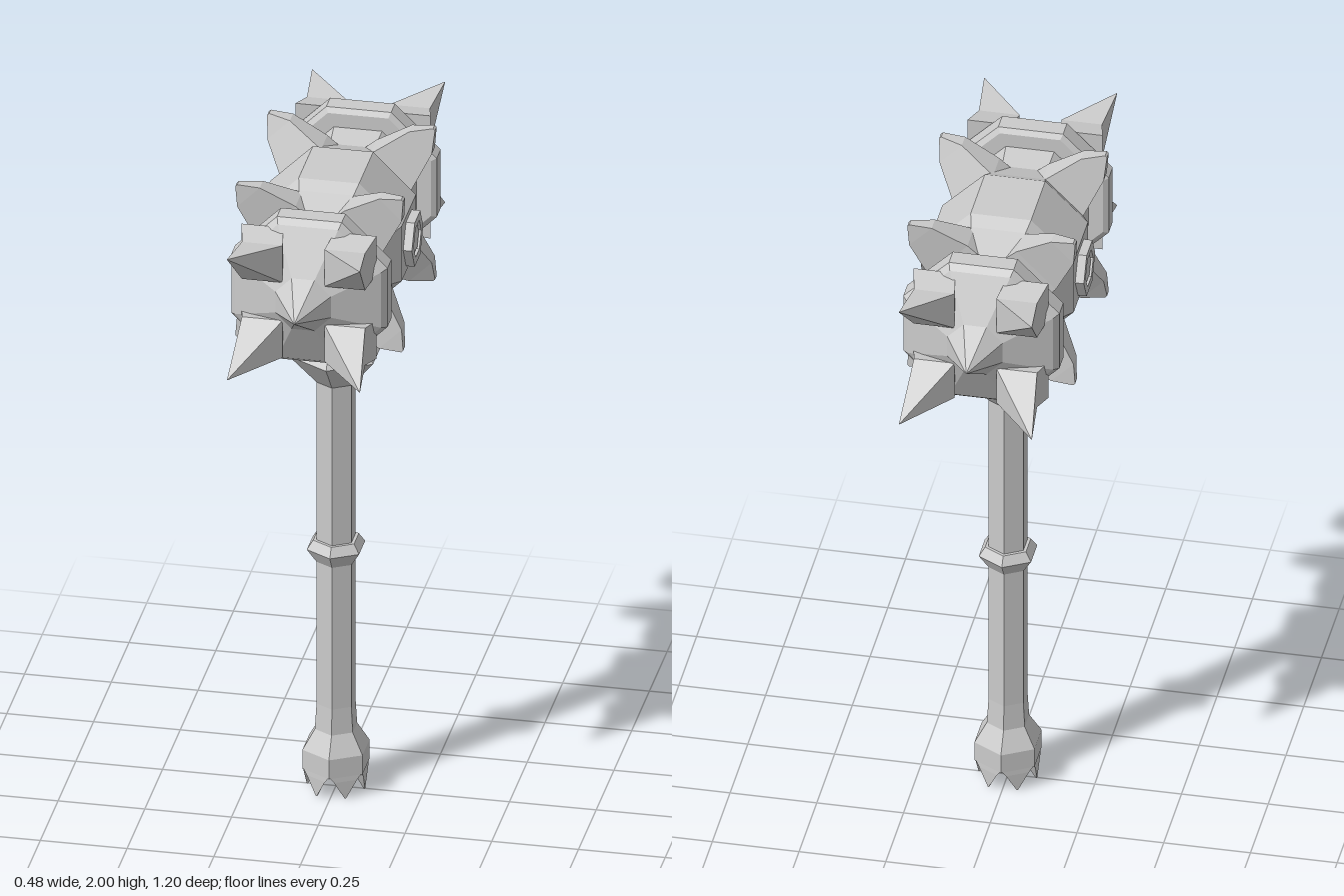
import * as THREE from 'three';

const HEAD_Y = 1.76;

// Skin a list of matching cross-sections (counter-clockwise seen from the far end), capped at both ends
function loft(sections) {
  const n = sections[0].length, index = [];
  for (let i = 0; i < sections.length - 1; i++) {
    for (let j = 0; j < n; j++) {
      const k = (j + 1) % n, a = i * n + j, b = i * n + k;
      index.push(a, b, b + n, a, b + n, a + n);
    }
  }
  const last = (sections.length - 1) * n;
  for (let j = 1; j < n - 1; j++) {
    index.push(0, j + 1, j, last, last + j, last + j + 1);
  }
  const geometry = new THREE.BufferGeometry();
  geometry.setAttribute('position', new THREE.Float32BufferAttribute(sections.flat(2), 3));
  geometry.setIndex(index);
  geometry.computeVertexNormals();
  return geometry;
}

function lathe(profile, sides, start = 0) {
  return new THREE.LatheGeometry(profile.map(([r, y]) => new THREE.Vector2(r, y)), sides, start);
}

export function createModel() {
  const material = new THREE.MeshStandardMaterial({ color: 0xcccccc, flatShading: true });
  const model = new THREE.Group();
  model.name = 'spikedWarHammer';
  const add = (parent, name, geometry) => {
    const mesh = new THREE.Mesh(geometry, material);
    mesh.name = name;
    parent.add(mesh);
    return mesh;
  };

  // Six-sided handle: flared pommel, shaft, grip ring and collar under the head
  add(model, 'handle', lathe([
    [0, 0.07], [0.05, 0.07], [0.1, 0.07], [0.1, 0.13], [0.063, 0.19], [0.058, 0.27],
    [0.058, 0.72], [0.087, 0.763], [0.068, 0.79], [0.058, 0.79],
    [0.058, 1.29], [0.14, 1.385], [0.07, 1.47], [0.07, 1.6],
  ], 6));

  // Pommel claws, one below each face of the handle
  const claws = new THREE.Group();
  claws.name = 'pommelClaws';
  model.add(claws);
  const clawGeometry = loft([
    [[0.085, 0.075, 0.05], [0.085, 0.075, -0.05], [0.05, 0.075, -0.02], [0.05, 0.075, 0.02]].reverse(),
    [[0.086, 0.055, 0.034], [0.086, 0.055, -0.034], [0.055, 0.055, -0.015], [0.055, 0.055, 0.015]].reverse(),
    [[0.084, 0, 0.002], [0.084, 0, -0.002], [0.08, 0, -0.002], [0.08, 0, 0.002]].reverse(),
  ]);
  for (let i = 0; i < 6; i++) {
    add(claws, 'pommelClaw', clawGeometry).rotation.y = i * Math.PI / 3;
  }

  const head = new THREE.Group();
  head.name = 'hammerHead';
  head.position.y = HEAD_Y;
  model.add(head);

  // Octagonal head along z: [apothem, z] from the middle to the tip, mirrored
  const half = [
    [0.21, 0.1], [0.19, 0.138], [0.155, 0.23], [0.168, 0.31], [0.21, 0.31], [0.225, 0.32],
    [0.225, 0.375], [0.21, 0.395], [0.08, 0.465], [0, 0.59],
  ];
  const profile = [...half.map(([r, z]) => [r, -z]).reverse(), ...half]
    .map(([r, z]) => [r / Math.cos(Math.PI / 8), z]);
  add(head, 'headBody', lathe(profile, 8, Math.PI / 8).rotateX(Math.PI / 2));

  // Four-sided face spike and blunt wedge horn, both laid out with x pointing away from the head axis
  const diamond = (x, r, z) => [[x + r, 0, z], [x, r, z], [x - r, 0, z], [x, -r, z]];
  const spikeGeometry = loft([
    diamond(0.19, 0.085, 0.38), diamond(0.168, 0.083, 0.458), diamond(0.27, 0.001, 0.6),
  ]);
  const wedge = (x, w, z0, z1) => [[x, -w, z0], [x, w, z0], [x, w, z1], [x, -w, z1]];
  const hornGeometry = loft([
    wedge(0.12, 0.085, 0.13, 0.225), wedge(0.18, 0.08, 0.135, 0.225),
    wedge(0.289, 0.046, 0.19, 0.235), wedge(0.338, 0.004, 0.213, 0.237),
  ]);
  for (const end of [0, Math.PI]) {
    const spikes = new THREE.Group();
    spikes.name = end ? 'backSpikes' : 'frontSpikes';
    spikes.rotation.y = end;
    head.add(spikes);
    for (let i = 0; i < 4; i++) {
      const angle = Math.PI / 4 + i * Math.PI / 2;
      add(spikes, 'faceSpike', spikeGeometry).rotation.z = angle;
      add(spikes, 'cornerHorn', hornGeometry).rotation.z = angle;
    }
  }

  // Hexagonal bolt with a recessed centre on each side
  const hexagon = (Type, r) => {
    const path = new Type();
    path.setFromPoints(Array.from({ length: 6 }, (_, i) =>
      new THREE.Vector2(r * Math.cos(i * Math.PI / 3), r * Math.sin(i * Math.PI / 3))));
    path.closePath();
    return path;
  };
  const ring = hexagon(THREE.Shape, 0.08);
  ring.holes.push(hexagon(THREE.Path, 0.053));
  const ringGeometry = new THREE.ExtrudeGeometry(ring, { depth: 0.035, bevelEnabled: false });
  const coreGeometry = new THREE.ExtrudeGeometry(hexagon(THREE.Shape, 0.043), { depth: 0.03, bevelEnabled: false });
  for (const side of [-1, 1]) {
    const bolt = new THREE.Group();
    bolt.name = side > 0 ? 'leftBolt' : 'rightBolt';
    bolt.position.x = side * 0.2;
    bolt.rotation.y = side * Math.PI / 2;
    head.add(bolt);
    add(bolt, 'boltRing', ringGeometry);
    add(bolt, 'boltCore', coreGeometry);
  }
  return model;
}
